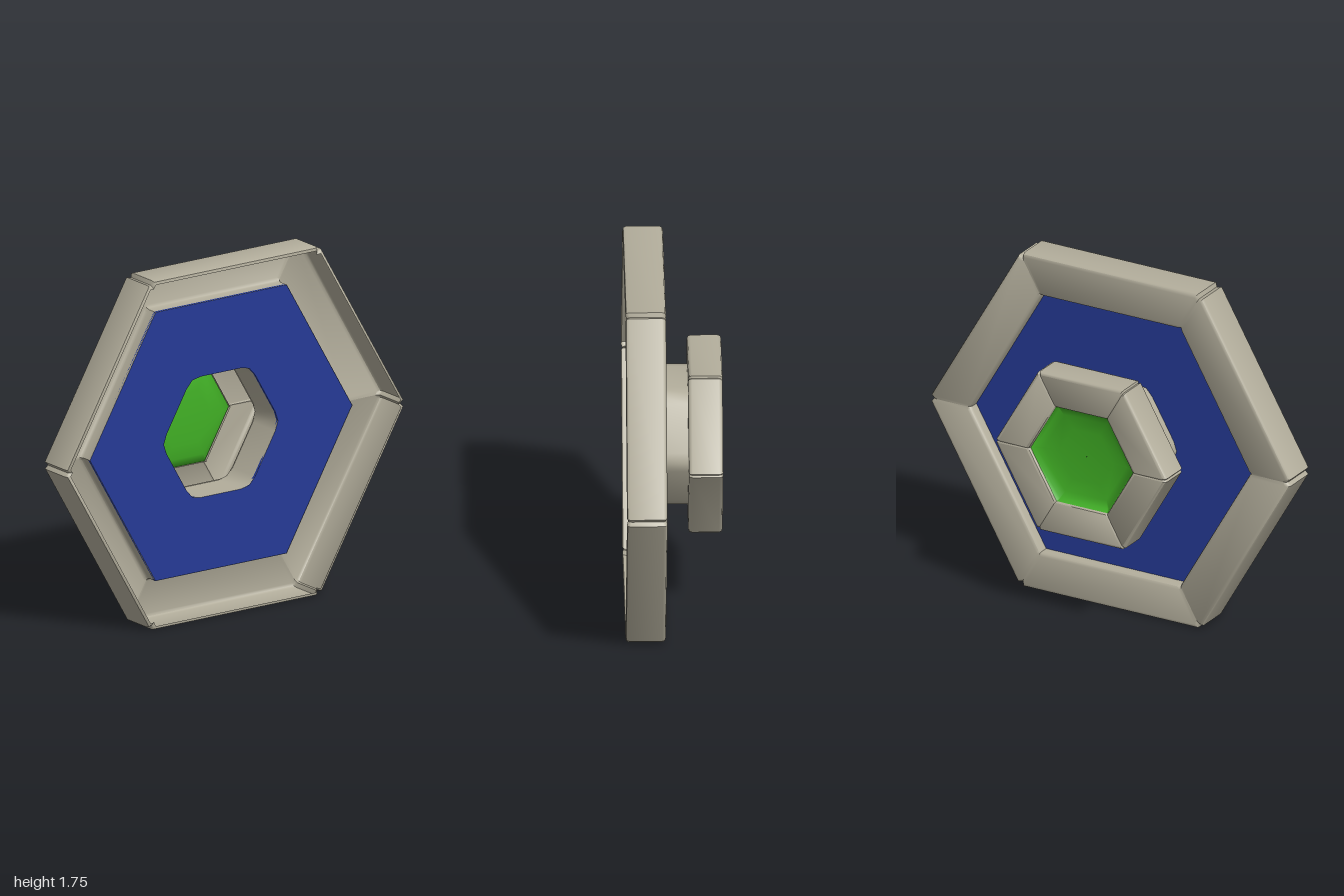
import * as THREE from 'three';
import { toCreasedNormals } from 'three/addons/utils/BufferGeometryUtils.js';

const material = (name, color) =>
  new THREE.MeshStandardMaterial({ name, color, side: THREE.DoubleSide });

// Hexagon outline with three points per corner: two on the edges, one pulled in
function hexLoop(r, d, tip) {
  const pts = [];
  for (let i = 0; i < 6; i++) {
    const a = (i * Math.PI) / 3;
    const corner = new THREE.Vector2(Math.cos(a), Math.sin(a));
    for (const side of [-1, 0, 1]) {
      if (side === 0) { pts.push(corner.clone().multiplyScalar(r * tip)); continue; }
      const b = a + side * (2 * Math.PI) / 3;
      pts.push(corner.clone().addScaledVector(new THREE.Vector2(Math.cos(b), Math.sin(b)), d).multiplyScalar(r));
    }
  }
  return pts;
}

// Sweeps a [radius, z] profile around the hexagon, with a shallow groove at each corner
function hexSweep(profile, { d = 0.02, tip = 0.975, groove = 0.06, crease = 0.85 } = {}) {
  const zs = profile.map(p => p[1]);
  const zMid = (Math.min(...zs) + Math.max(...zs)) / 2;
  const pos = [], index = [], n = 18;
  for (const [r, z, t = tip] of profile) {
    hexLoop(r, d, t).forEach((p, i) => {
      pos.push(p.x, p.y, i % 3 === 1 ? z + (zMid - z) * groove : z);
    });
  }
  for (let j = 0; j < profile.length - 1; j++) {
    for (let i = 0; i < n; i++) {
      const a = j * n + i, b = j * n + ((i + 1) % n);
      index.push(a, a + n, b, b, a + n, b + n);
    }
  }
  const g = new THREE.BufferGeometry();
  g.setAttribute('position', new THREE.Float32BufferAttribute(pos, 3));
  g.setIndex(index);
  return toCreasedNormals(g, crease);
}

export function createModel() {
  const stone = material('warm grey', 0xb2ad9b);
  const blue = material('deep blue', 0x253a96);
  const green = material('bright green', 0x41b025);

  const group = new THREE.Group();
  group.name = 'hexagonalPanel';
  const add = (name, geometry, mat) => {
    const mesh = new THREE.Mesh(geometry, mat);
    mesh.name = name;
    mesh.position.y = 0.875;
    group.add(mesh);
  };

  // Large frame: open at the front, with a flange at the back and an inner lip
  add('outerFrame', hexSweep([
    [0.988, 0.235], [1.004, 0.231], [1.01, 0.218], [1.01, 0.058], [1.004, 0.045], [0.988, 0.04],
    [0.8, 0.04, 0.99], [0.784, 0.045, 1], [0.778, 0.058, 1], [0.778, 0.115, 1],
  ]), stone);

  // Flat plate between frame and neck
  const neckCorner = { d: 0.16, tip: 0.966, groove: 0 };
  const plate = new THREE.Shape(hexLoop(0.778, 0.02, 1));
  plate.holes.push(new THREE.Path(hexLoop(0.35, neckCorner.d, neckCorner.tip)));
  const plateGeometry = new THREE.ExtrudeGeometry(plate, { depth: 0.012, bevelEnabled: false });
  plateGeometry.translate(0, 0, 0.1);
  add('bluePlate', plateGeometry, blue);

  // Hollow neck joining the plate to the small ring
  add('neck', hexSweep([[0.35, 0.113], [0.35, -0.075]], neckCorner), stone);

  // Small ring behind the neck
  add('rearRing', hexSweep([
    [0.345, -0.07, 0.966], [0.462, -0.07], [0.475, -0.075], [0.48, -0.088],
    [0.48, -0.217], [0.475, -0.23], [0.462, -0.235],
    [0.305, -0.235, 0.99], [0.292, -0.231, 1], [0.287, -0.218, 1], [0.287, -0.205, 1],
  ]), stone);

  // Shallow dished lens in the small ring
  add('greenLens', hexSweep([
    [0.287, -0.218], [0.27, -0.2], [0.23, -0.187], [0.15, -0.178], [0.001, -0.176],
  ], { tip: 1, groove: 0, crease: 1.2 }), green);

  return group;
}
